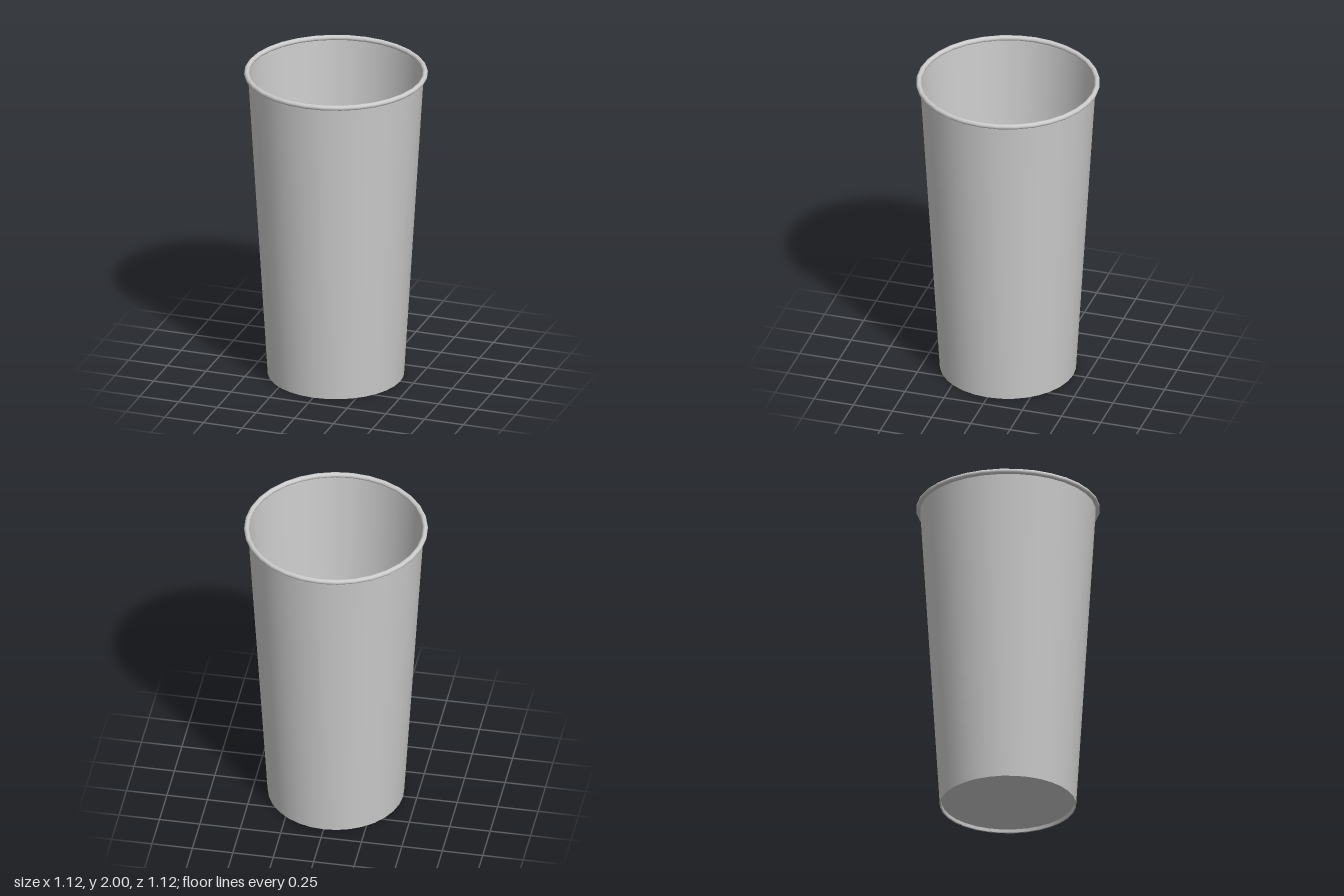
import * as THREE from 'three';

const SIDES = 32;

export function createModel() {
  const group = new THREE.Group();
  group.name = 'cup';
  const material = new THREE.MeshStandardMaterial({ color: 0xcccccc, side: THREE.DoubleSide });

  const add = (name, geometry) => {
    const mesh = new THREE.Mesh(geometry, material);
    mesh.name = name;
    group.add(mesh);
    return mesh;
  };
  const lathe = (...points) =>
    new THREE.LatheGeometry(points.map(([r, y]) => new THREE.Vector2(r, y)), SIDES);

  // Thin tapered wall, open at the top
  add('wall', lathe([0.416, 0], [0.536, 1.98]));

  // Slightly raised floor with a narrow foot folded under the wall
  add('floor', lathe([0, 0.02], [0.404, 0.02]));
  add('footInside', lathe([0.404, 0.02], [0.406, 0]));
  add('footRing', lathe([0.406, 0], [0.416, 0]));

  // Rolled lip
  const rim = add('rim', new THREE.TorusGeometry(0.544, 0.016, 12, SIDES));
  rim.rotation.x = Math.PI / 2;
  rim.position.y = 1.984;

  return group;
}
